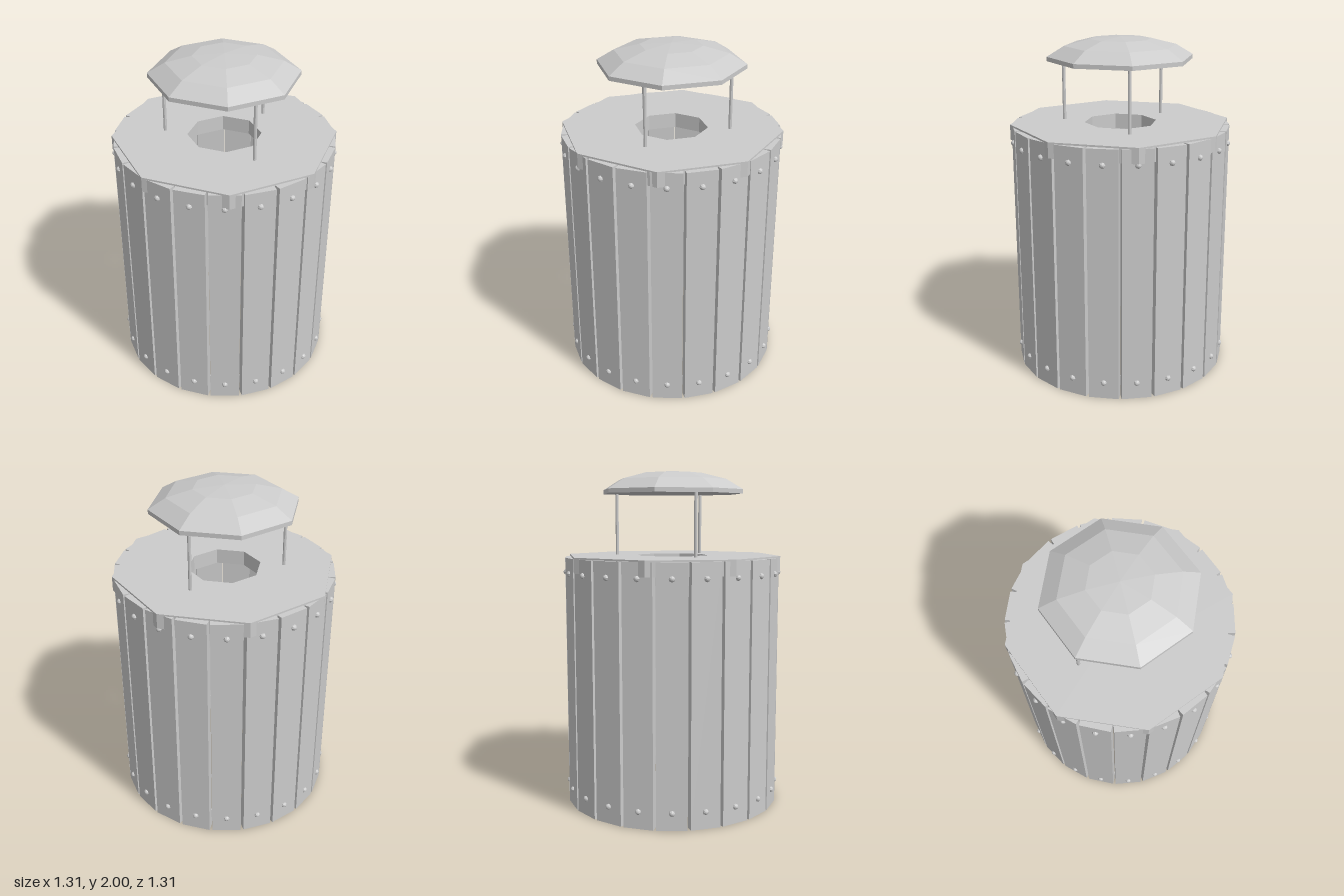
import * as THREE from 'three';

const SLATS = 21;
const FACE = 0.64;       // distance from the axis to a slat's outer face
const THICK = 0.05;

export function createModel() {
  const bin = new THREE.Group();
  bin.name = 'slattedBin';
  const mat = new THREE.MeshStandardMaterial({ color: 0xcccccc, flatShading: true });

  const add = (name, geometry, parent = bin) => {
    const mesh = new THREE.Mesh(geometry, mat);
    mesh.name = name;
    parent.add(mesh);
    return mesh;
  };
  const lathe = (points, sides) =>
    new THREE.LatheGeometry(points.map(([r, y]) => new THREE.Vector2(r, y)), sides);
  const ring = (inner, outer, low, high, sides) =>
    lathe([[inner, low], [outer, low], [outer, high], [inner, high], [inner, low]], sides);

  // Wall of upright slats, each with a bolt near its top and bottom
  const slatGeo = new THREE.BoxGeometry(THICK, 1.49, 0.175);
  slatGeo.translate(FACE - THICK / 2, 0.745, 0);
  const boltGeo = new THREE.SphereGeometry(0.018, 8, 4, 0, Math.PI * 2, 0, Math.PI / 2);
  boltGeo.rotateZ(-Math.PI / 2);
  for (let i = 0; i < SLATS; i++) {
    const stave = new THREE.Group();
    stave.name = 'stave';
    stave.rotation.y = (i / SLATS) * Math.PI * 2;
    add('slat', slatGeo, stave);
    for (const y of [0.1, 1.4]) add('bolt', boltGeo, stave).position.set(FACE - 0.002, y, 0);
    bin.add(stave);
  }

  // Hoops that hold the slats together on the inside
  add('lowerHoop', ring(0.587, 0.6, 0.065, 0.125, 32));
  add('upperHoop', ring(0.587, 0.6, 1.36, 1.42, 32));

  // Octagonal lid with an octagonal opening
  add('lid', ring(0.216, 0.655, 1.41, 1.5, 8));

  // Three thin rods carrying the rain cap
  const rodGeo = new THREE.CylinderGeometry(0.01, 0.01, 0.43, 8);
  for (const [x, z] of [[0.345, 0], [-0.108, 0.325], [-0.203, -0.283]])
    add('rod', rodGeo).position.set(x, 1.665, z);

  // Faceted domed rain cap with a flat underside
  add('rainCap', lathe(
    [[0, 1.865], [0.43, 1.865], [0.43, 1.89], [0.33, 1.95], [0.18, 1.988], [0, 2]], 8));

  return bin;
}
